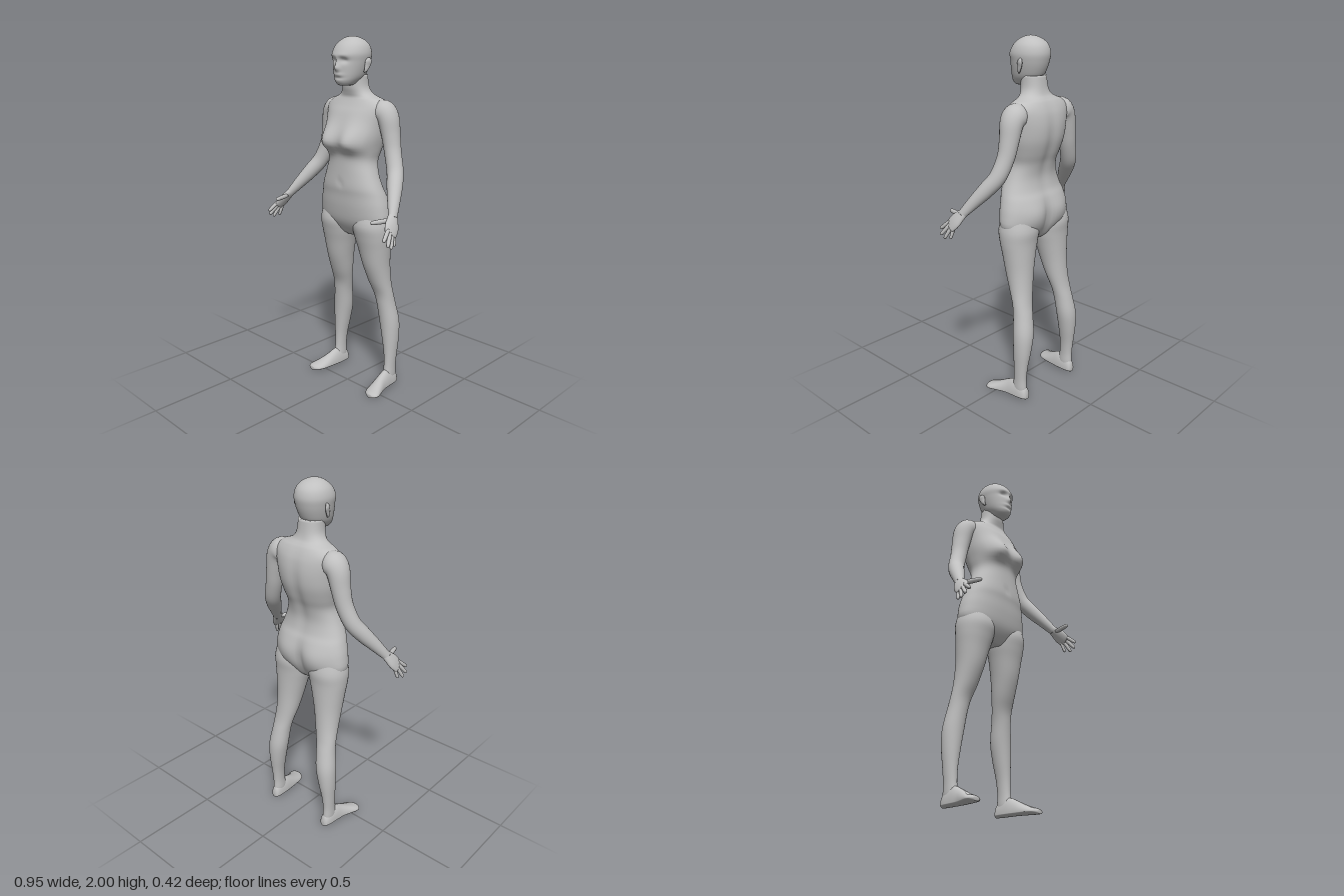
import * as THREE from 'three';

const V = (x, y, z) => new THREE.Vector3(x, y, z);
const skinMat = new THREE.MeshStandardMaterial({ color: 0xc0c0c0 });
skinMat.name = 'grey skin';

// Smooth interpolation through rows of numbers, n steps per gap
function smoothRows(rows, n) {
  const out = [], last = rows.length - 1;
  const at = (i) => rows[Math.max(0, Math.min(last, i))];
  for (let i = 0; i < last; i++) {
    for (let k = 0; k < n; k++) {
      const t = k / n;
      out.push(rows[i].map((b, j) => {
        const a = at(i - 1)[j], c = at(i + 1)[j], d = at(i + 2)[j];
        return b + 0.5 * t * (c - a + t * (2 * a - 5 * b + 4 * c - d + t * (3 * (b - c) + d - a)));
      }));
    }
  }
  out.push(rows[last]);
  return out;
}

// Closed skin over a stack of rings, capped at both ends and facing outwards
function loft(rings) {
  const n = rings[0].length, pos = [], idx = [];
  rings.forEach((r) => r.forEach((p) => pos.push(p.x, p.y, p.z)));
  const quad = (a, b, c, d) => idx.push(a, b, c, a, c, d);
  for (let i = 0; i < rings.length - 1; i++) {
    for (let j = 0; j < n; j++) {
      const k = (j + 1) % n;
      quad(i * n + j, i * n + k, (i + 1) * n + k, (i + 1) * n + j);
    }
  }
  [0, rings.length - 1].forEach((i, end) => {
    const c = rings[i].reduce((s, p) => s.add(p), V(0, 0, 0)).divideScalar(n);
    const m = pos.length / 3;
    pos.push(c.x, c.y, c.z);
    for (let j = 0; j < n; j++) {
      const a = i * n + j, b = i * n + (j + 1) % n;
      if (end) idx.push(a, b, m); else idx.push(b, a, m);
    }
  });
  const pt = (i) => V(pos[3 * i], pos[3 * i + 1], pos[3 * i + 2]);
  let volume = 0;
  for (let i = 0; i < idx.length; i += 3) volume += pt(idx[i]).dot(pt(idx[i + 1]).cross(pt(idx[i + 2])));
  if (volume < 0) idx.reverse();
  const g = new THREE.BufferGeometry();
  g.setAttribute('position', new THREE.Float32BufferAttribute(pos, 3));
  g.setIndex(idx);
  g.computeVertexNormals();
  return g;
}

// Level rings from rows [y, xMin, xMax, zFront, zBack]; e squares off the oval
function levelRings(rows, steps, sides, e = 1, shape = null) {
  const pw = (v) => Math.sign(v) * Math.abs(v) ** e;
  return smoothRows(rows, steps).map(([y, x0, x1, zf, zb]) =>
    Array.from({ length: sides }, (_, j) => {
      const a = (j / sides) * Math.PI * 2;
      const p = V((x0 + x1) / 2 + pw(Math.cos(a)) * (x1 - x0) / 2, y,
        (zf + zb) / 2 + pw(Math.sin(a)) * (zf - zb) / 2);
      if (shape) shape(p, Math.sin(a));
      return p;
    }));
}

// Rings across a path of rows [x, y, z, rWide, rThin]; wide points along "wide"
function pathRings(rows, steps, sides, wide) {
  const s = smoothRows(rows, steps);
  return s.map((r, i) => {
    const a = s[Math.max(0, i - 1)], b = s[Math.min(s.length - 1, i + 1)];
    const t = V(b[0] - a[0], b[1] - a[1], b[2] - a[2]).normalize();
    const u = wide.clone().addScaledVector(t, -wide.dot(t)).normalize();
    const v = t.clone().cross(u);
    return Array.from({ length: sides }, (_, j) => {
      const q = (j / sides) * Math.PI * 2;
      return V(r[0], r[1], r[2]).addScaledVector(u, Math.cos(q) * r[3]).addScaledVector(v, Math.sin(q) * r[4]);
    });
  });
}

const bump = (dx, sx, dy, sy) => Math.exp(-0.5 * ((dx / sx) ** 2 + (dy / sy) ** 2));
const even = (rows) => rows.map(([y, w, f, b]) => [y, -w, w, f, b]);

// Bust, buttocks, spine groove and navel
function shapeTorso(p, s) {
  const ax = Math.abs(p.x);
  if (s > 0) {
    const k = Math.min(1, s * 2), sy = p.y < 1.44 ? 0.034 : 0.065;
    p.z += k * 0.062 * (bump(p.x - 0.085, 0.055, p.y - 1.44, sy) + bump(p.x + 0.085, 0.055, p.y - 1.44, sy));
    p.z -= 0.006 * bump(p.x, 0.012, p.y - 1.22, 0.015);
  } else {
    const k = Math.min(1, -s * 2);
    p.z -= k * 0.02 * bump(ax - 0.1, 0.06, p.y - 1.06, 0.06);
    p.z += k * 0.016 * bump(p.x, 0.02, p.y - 1.02, 0.07);
    p.z += k * 0.012 * bump(p.x, 0.025, p.y - 1.42, 0.14);
  }
}

// Nose, eye sockets, brow, lips and chin
function shapeHead(p, s) {
  if (s <= 0) return;
  const ax = Math.abs(p.x);
  p.z += 0.017 * bump(p.x, 0.011, p.y - 1.836, 0.012) + 0.009 * bump(p.x, 0.01, p.y - 1.86, 0.02);
  p.z -= 0.013 * bump(ax - 0.036, 0.016, p.y - 1.876, 0.011);
  p.z += 0.004 * bump(ax - 0.03, 0.025, p.y - 1.9, 0.009);
  p.z += 0.006 * bump(p.x, 0.022, p.y - 1.802, 0.007) - 0.004 * bump(p.x, 0.02, p.y - 1.785, 0.006);
}

const torso = even([
  [0.91, 0.05, -0.02, -0.11], [0.94, 0.15, 0.005, -0.135], [1.0, 0.234, 0.035, -0.163],
  [1.08, 0.235, 0.05, -0.172], [1.15, 0.218, 0.056, -0.163], [1.2, 0.2, 0.062, -0.146],
  [1.27, 0.172, 0.06, -0.138], [1.34, 0.152, 0.058, -0.152], [1.4, 0.163, 0.056, -0.175],
  [1.47, 0.18, 0.056, -0.195], [1.54, 0.19, 0.045, -0.2], [1.6, 0.2, 0.028, -0.193],
  [1.64, 0.2, 0.008, -0.18], [1.67, 0.168, -0.006, -0.165], [1.686, 0.125, -0.01, -0.153],
  [1.705, 0.092, -0.006, -0.14], [1.74, 0.073, 0.002, -0.13], [1.8, 0.068, 0.005, -0.122],
]);
const head = even([
  [1.744, 0.02, 0.045, -0.02], [1.75, 0.042, 0.06, -0.045], [1.77, 0.06, 0.072, -0.08],
  [1.795, 0.074, 0.073, -0.108], [1.83, 0.085, 0.074, -0.126], [1.87, 0.094, 0.074, -0.139],
  [1.91, 0.099, 0.076, -0.145], [1.95, 0.088, 0.056, -0.134], [1.978, 0.064, 0.026, -0.107],
  [1.994, 0.034, -0.004, -0.072], [2.0, 0.005, -0.033, -0.043],
]);
const leg = [
  [1.07, 0.04, 0.22, 0.01, -0.15], [0.99, 0.012, 0.241, 0.036, -0.172], [0.92, 0.02, 0.24, 0.026, -0.167],
  [0.85, 0.04, 0.232, 0.01, -0.165], [0.75, 0.065, 0.222, -0.012, -0.165], [0.65, 0.086, 0.22, -0.046, -0.17],
  [0.57, 0.106, 0.225, -0.078, -0.18], [0.5, 0.12, 0.231, -0.09, -0.196], [0.4, 0.131, 0.245, -0.1, -0.214],
  [0.3, 0.15, 0.246, -0.106, -0.21], [0.2, 0.17, 0.24, -0.11, -0.196], [0.12, 0.177, 0.235, -0.108, -0.188],
  [0.06, 0.176, 0.234, -0.1, -0.19], [0.03, 0.18, 0.23, -0.105, -0.185],
];
// Foot rows: [z, centre x, half width, height]
const foot = [
  [-0.2, 0.203, 0.012, 0.03], [-0.19, 0.203, 0.026, 0.065], [-0.16, 0.205, 0.033, 0.09],
  [-0.11, 0.207, 0.036, 0.1], [-0.06, 0.212, 0.038, 0.08], [-0.01, 0.223, 0.045, 0.055],
  [0.03, 0.234, 0.049, 0.038], [0.055, 0.24, 0.039, 0.03], [0.068, 0.242, 0.018, 0.02],
];
const arm = [
  [0.13, 1.6, -0.09, 0.05, 0.05], [0.175, 1.608, -0.095, 0.068, 0.066], [0.209, 1.575, -0.097, 0.064, 0.058],
  [0.229, 1.49, -0.098, 0.054, 0.05], [0.25, 1.4, -0.092, 0.047, 0.046], [0.287, 1.305, -0.07, 0.045, 0.045],
  [0.325, 1.237, -0.025, 0.043, 0.042], [0.365, 1.17, 0.027, 0.035, 0.033], [0.4, 1.11, 0.072, 0.027, 0.022],
  [0.408, 1.097, 0.08, 0.026, 0.02],
];
const palm = [
  [0.396, 1.115, 0.068, 0.024, 0.02], [0.412, 1.09, 0.088, 0.034, 0.019],
  [0.428, 1.06, 0.112, 0.043, 0.017], [0.441, 1.03, 0.135, 0.038, 0.012], [0.444, 1.024, 0.14, 0.026, 0.007],
];
// Fingers: [base, tip, radius], thumb first
const fingers = [
  [[0.402, 1.09, 0.105], [0.371, 1.088, 0.208], 0.0125],
  [[0.433, 1.055, 0.145], [0.454, 1.004, 0.203], 0.0105],
  [[0.44, 1.04, 0.138], [0.468, 0.977, 0.186], 0.0105],
  [[0.442, 1.03, 0.125], [0.467, 0.961, 0.158], 0.01],
  [[0.44, 1.028, 0.108], [0.456, 0.966, 0.122], 0.009],
];

function fingerRows([a, b, r]) {
  return [[0, 0.9], [0.3, 1.05], [0.65, 1], [0.9, 0.85], [0.98, 0.5], [1, 0.1]].map(([t, k]) =>
    [...a.map((v, i) => v + (b[i] - v) * t), r * k, r * k]);
}

function footRings() {
  return smoothRows(foot, 4).map(([z, cx, w, h]) => Array.from({ length: 24 }, (_, j) => {
    const a = (j / 24) * Math.PI * 2, s = Math.sin(a);
    return V(cx + Math.cos(a) * w, s < 0 ? 0.012 * (1 + s) : 0.012 + s * (h - 0.012), z);
  }));
}

// Ear: a thick curved rim with a flat inner shell
function earRings() {
  return pathRings([
    [0.088, 1.815, -0.036, 0.005, 0.004], [0.095, 1.825, -0.042, 0.01, 0.007], [0.099, 1.85, -0.05, 0.018, 0.007],
    [0.102, 1.87, -0.055, 0.02, 0.008], [0.1, 1.884, -0.057, 0.012, 0.006], [0.097, 1.889, -0.057, 0.003, 0.003],
  ], 4, 12, V(0.25, 0, -1));
}

export function createModel() {
  const model = new THREE.Group();
  model.name = 'standing figure';
  const add = (name, rings, parent = model) => {
    const mesh = new THREE.Mesh(loft(rings), skinMat);
    mesh.name = name;
    parent.add(mesh);
  };
  add('torso and neck', levelRings(torso, 4, 72, 0.88, shapeTorso));
  add('head', levelRings(head, 7, 72, 0.95, shapeHead));

  // Limbs and ears on both sides
  for (const [side, s] of [['left', 1], ['right', -1]]) {
    const group = new THREE.Group();
    group.name = `${side} limbs`;
    model.add(group);
    const put = (name, rings) => {
      rings.forEach((r) => r.forEach((p) => { p.x *= s; }));
      add(`${side} ${name}`, rings, group);
    };
    const spread = V(-0.25, 0.45, 0.85);
    put('leg', levelRings(leg, 4, 36, 0.95));
    put('foot', footRings());
    put('arm', pathRings(arm, 5, 28, V(0, 0.3, 1)));
    put('palm', pathRings(palm, 4, 20, spread));
    fingers.forEach((f, i) => put(i ? `finger ${i}` : 'thumb', pathRings(fingerRows(f), 3, 10, V(1, 0.2, 0))));
    put('ear', earRings());
  }
  return model;
}
